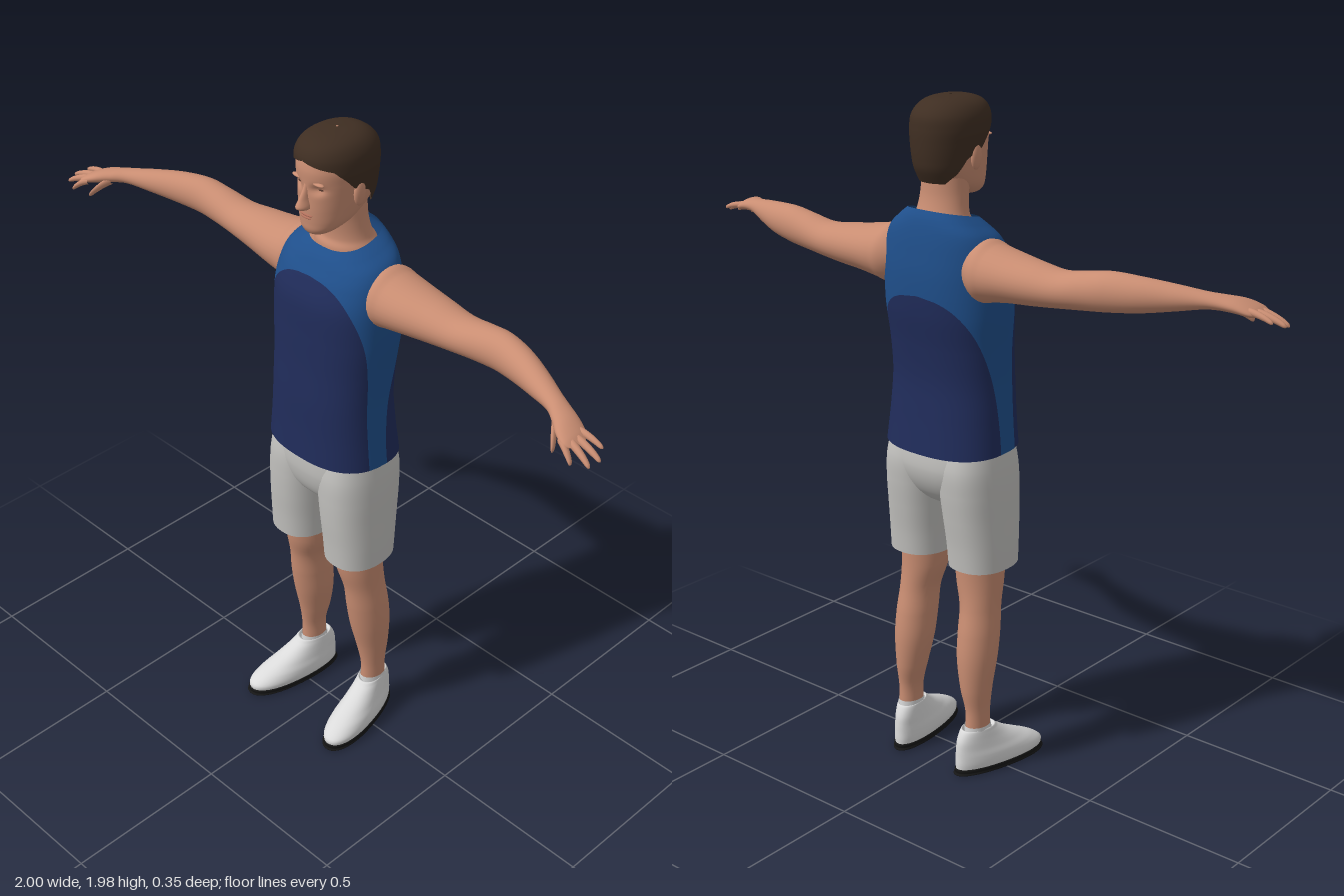
import * as THREE from 'three';

const mat = (name, color, side = THREE.FrontSide) => {
  const m = new THREE.MeshStandardMaterial({ color, side });
  m.name = name;
  return m;
};

// Smooth value of the section table at position v (0..1)
function sample(sections, v) {
  const n = sections.length - 1;
  const s = THREE.MathUtils.clamp(v, 0, 1) * n;
  const i = Math.min(Math.floor(s), n - 1), f = s - i;
  const at = (k) => sections[THREE.MathUtils.clamp(k, 0, n)];
  return sections[0].map((_, c) => {
    const p1 = at(i)[c], p2 = at(i + 1)[c];
    const m1 = (p2 - at(i - 1)[c]) / 2, m2 = (at(i + 2)[c] - p1) / 2;
    return p1 + m1 * f + (3 * (p2 - p1) - 2 * m1 - m2) * f * f + (2 * (p1 - p2) + m1 + m2) * f * f * f;
  });
}

// Loft through superellipse sections.
// axis 'y': [y, cx, cz, rx, rz, tilt], angle 0 faces the front; axis 'x': [x, cy, cz, ry, rz]
function loft(sections, { axis = 'y', power = 2, nu = 40, nv = 40, range, warp } = {}) {
  const pw = (a) => Math.sign(a) * Math.abs(a) ** (2 / power);
  const point = (t, v) => {
    const [a, c1, c2, r1, r2, tilt = 0] = sample(sections, v);
    const s = pw(Math.sin(t)), c = pw(Math.cos(t));
    const p = axis === 'y'
      ? new THREE.Vector3(c1 + r1 * s, a + tilt * r2 * c, c2 + r2 * c)
      : new THREE.Vector3(a, c1 + r1 * c, c2 + r2 * s);
    if (warp) warp(p);
    return p;
  };
  const pos = [], nor = [], idx = [], open = [], e = 0.004;
  for (let j = 0; j <= nv; j++) {
    const v = j / nv;
    const [t0, t1] = range ? range(sample(sections, v)[0]) : [0, Math.PI * 2];
    open.push(t1 - t0 > 1e-5);
    for (let i = 0; i <= nu; i++) {
      const t = t0 + (t1 - t0) * i / nu;
      const du = point(t + 0.03, v).sub(point(t - 0.03, v));
      const dv = point(t, Math.min(1, v + e)).sub(point(t, Math.max(0, v - e)));
      pos.push(...point(t, v).toArray());
      nor.push(...du.cross(dv).normalize().toArray());
    }
  }
  for (let j = 0; j < nv; j++) {
    if (!open[j] && !open[j + 1]) continue;
    for (let i = 0; i < nu; i++) {
      const a = j * (nu + 1) + i, b = a + nu + 1;
      idx.push(a, a + 1, b + 1, a, b + 1, b);
    }
  }
  const g = new THREE.BufferGeometry();
  g.setAttribute('position', new THREE.Float32BufferAttribute(pos, 3));
  g.setAttribute('normal', new THREE.Float32BufferAttribute(nor, 3));
  g.setIndex(idx);
  return g;
}

const ball = (x, y, z, rx, ry, rz) => new THREE.SphereGeometry(1, 20, 14).scale(rx, ry, rz).translate(x, y, z);

function mirrored(geo) {
  const g = geo.clone().scale(-1, 1, 1);
  const a = g.index.array;
  for (let i = 0; i < a.length; i += 3) [a[i], a[i + 1]] = [a[i + 1], a[i]];
  return g;
}

export function createModel() {
  const skin = mat('skin', 0xc98d72);
  const lip = mat('lips', 0xb2705c);
  const dark = mat('eye brown', 0x4a3026);
  const hairMat = mat('hair brown', 0x3f2e22, THREE.DoubleSide);
  const navy = mat('shirt navy', 0x202c5a, THREE.DoubleSide);
  const blue = mat('shirt blue', 0x1f4f8b, THREE.DoubleSide);
  const cloth = mat('shorts grey', 0xc2c1be, THREE.DoubleSide);
  const shoeMat = mat('shoe white', 0xdadada, THREE.DoubleSide);
  const black = mat('sole black', 0x161616);

  const model = new THREE.Group();
  model.name = 'athlete';
  const add = (name, geo, material) => {
    const m = new THREE.Mesh(geo, material);
    m.name = name;
    model.add(m);
  };
  const pair = (name, geo, material) => {
    add('left' + name, geo, material);
    add('right' + name, mirrored(geo), material);
  };

  // Sleeveless shirt, split into arched front and back panels and blue sides
  const shirt = [
    [1.0, 0, -0.022, 0.193, 0.148, 0.05], [1.1, 0, -0.018, 0.185, 0.138, 0], [1.2, 0, -0.016, 0.18, 0.132, 0],
    [1.3, 0, -0.023, 0.182, 0.132, 0], [1.4, 0, -0.032, 0.188, 0.137, 0], [1.5, 0, -0.037, 0.187, 0.137, 0],
    [1.57, 0, -0.045, 0.178, 0.125, -0.05], [1.615, 0, -0.052, 0.16, 0.112, -0.12],
    [1.645, 0, -0.056, 0.125, 0.1, -0.18], [1.667, 0, -0.06, 0.095, 0.085, -0.22],
  ];
  const arch = (y, base, height, width) => width * Math.sqrt(Math.max(0, 1 - (Math.max(0, y - base) / height) ** 2));
  const front = (y) => arch(y, 1.2, 0.385, 1.32);
  const back = (y) => arch(y, 1.0, 0.45, 1.5);
  const panel = (range) => loft(shirt, { power: 2.5, nu: 32, nv: 110, range });
  add('shirtFrontPanel', panel((y) => [-front(y), front(y)]), navy);
  add('shirtBackPanel', panel((y) => [Math.PI - back(y), Math.PI + back(y)]), navy);
  pair('ShirtSide', panel((y) => [front(y), Math.PI - back(y)]), blue);

  // Shorts
  add('shortsSeat', loft([
    [0.815, 0, -0.02, 0.003, 0.003], [0.825, 0, -0.02, 0.07, 0.06], [0.87, 0, -0.022, 0.15, 0.108],
    [0.94, 0, -0.024, 0.185, 0.132], [1.03, 0, -0.02, 0.178, 0.128],
  ], { power: 2.4 }), cloth);
  pair('ShortsLeg', loft([
    [0.648, 0.11, -0.015, 0.089, 0.105], [0.72, 0.108, -0.016, 0.091, 0.111], [0.8, 0.104, -0.018, 0.093, 0.12],
    [0.88, 0.1, -0.021, 0.095, 0.127], [0.95, 0.096, -0.023, 0.094, 0.128], [1.02, 0.09, -0.022, 0.09, 0.115],
  ], { power: 2.3 }), cloth);

  // Legs and socks
  pair('Leg', loft([
    [0.08, 0.13, -0.062, 0.03, 0.041], [0.14, 0.13, -0.062, 0.031, 0.042], [0.2, 0.13, -0.062, 0.032, 0.043],
    [0.27, 0.125, -0.062, 0.043, 0.054], [0.36, 0.121, -0.054, 0.055, 0.066], [0.44, 0.119, -0.044, 0.057, 0.069],
    [0.52, 0.115, -0.033, 0.056, 0.067], [0.6, 0.105, -0.022, 0.067, 0.074], [0.72, 0.1, -0.018, 0.075, 0.082],
  ]), skin);
  pair('Sock', loft([[0.08, 0.13, -0.062, 0.035, 0.047], [0.15, 0.13, -0.062, 0.034, 0.045]], { nv: 4 }), shoeMat);

  // Shoes: narrow heel, broad forefoot, toes turned out
  const footShape = (p) => { p.x *= 0.95 + 0.7 * p.z; };
  const shoe = (sections, nv) => loft(sections, { power: 2.2, nv, warp: footShape })
    .translate(0, 0, 0.06).rotateY(0.19).translate(0.13, 0, -0.06);
  pair('Shoe', shoe([
    [0.015, 0, 0.019, 0.054, 0.157], [0.035, 0, 0.018, 0.058, 0.157], [0.058, 0, 0.002, 0.056, 0.14],
    [0.08, 0, -0.02, 0.05, 0.117], [0.105, 0, -0.044, 0.045, 0.09], [0.128, 0, -0.058, 0.041, 0.067],
    [0.14, 0, -0.061, 0.038, 0.055], [0.132, 0, -0.062, 0.034, 0.046],
  ], 32), shoeMat);
  pair('Sole', shoe([
    [0, 0, 0.019, 0.002, 0.003], [0.0005, 0, 0.019, 0.053, 0.153], [0.01, 0, 0.019, 0.057, 0.16],
    [0.019, 0, 0.019, 0.057, 0.16], [0.021, 0, 0.019, 0.05, 0.15],
  ], 16), black);

  // Arms running into the palms
  const along = { axis: 'x', nu: 32, nv: 70 };
  pair('Arm', loft([
    [0.1, 1.535, -0.063, 0.055, 0.06], [0.16, 1.53, -0.064, 0.086, 0.092], [0.2, 1.528, -0.066, 0.078, 0.092],
    [0.26, 1.527, -0.067, 0.068, 0.085], [0.34, 1.525, -0.07, 0.059, 0.072], [0.42, 1.525, -0.07, 0.051, 0.06],
    [0.5, 1.535, -0.067, 0.053, 0.052], [0.57, 1.543, -0.061, 0.054, 0.048], [0.65, 1.545, -0.042, 0.047, 0.045],
    [0.73, 1.546, -0.012, 0.035, 0.039], [0.8, 1.546, 0.018, 0.023, 0.032], [0.84, 1.543, 0.04, 0.02, 0.036],
    [0.88, 1.536, 0.063, 0.019, 0.044], [0.915, 1.525, 0.078, 0.014, 0.043], [0.935, 1.52, 0.083, 0.003, 0.025],
  ], along), skin);

  // Fingers: root, tip and thickness
  const finger = ([x0, y0, z0], [x1, y1, z1], r) => loft([0, 0.35, 0.7, 0.93, 1].map((f, i) => [
    x0 + (x1 - x0) * f, y0 + (y1 - y0) * f + 0.006 * Math.sin(f * Math.PI), z0 + (z1 - z0) * f,
    r * [1, 1, 0.85, 0.6, 0.1][i], r * [1, 1, 0.85, 0.6, 0.1][i],
  ]), { axis: 'x', nu: 12, nv: 16 });
  pair('Thumb', finger([0.84, 1.535, 0.06], [0.885, 1.488, 0.118], 0.013), skin);
  pair('IndexFinger', finger([0.895, 1.527, 0.106], [0.95, 1.489, 0.128], 0.011), skin);
  pair('MiddleFinger', finger([0.9, 1.526, 0.09], [0.992, 1.493, 0.11], 0.011), skin);
  pair('RingFinger', finger([0.9, 1.526, 0.07], [1.0, 1.5, 0.08], 0.0105), skin);
  pair('LittleFinger', finger([0.89, 1.53, 0.05], [0.98, 1.512, 0.047], 0.0095), skin);

  // Neck and head with hollowed eye sockets
  add('neck', loft([
    [1.58, 0, -0.06, 0.11, 0.07], [1.64, 0, -0.065, 0.091, 0.078, -0.1], [1.67, 0, -0.062, 0.077, 0.066],
    [1.72, 0, -0.054, 0.069, 0.062], [1.79, 0, -0.046, 0.066, 0.068],
  ].map((s) => s.slice(0, 5))), skin);
  add('head', loft([
    [1.703, 0, 0.04, 0.003, 0.003], [1.707, 0, 0.038, 0.028, 0.032], [1.722, 0, 0.025, 0.05, 0.057],
    [1.745, 0, 0, 0.066, 0.085], [1.78, 0, -0.02, 0.076, 0.107], [1.82, 0, -0.028, 0.083, 0.115],
    [1.86, 0, -0.03, 0.088, 0.118], [1.9, 0, -0.03, 0.09, 0.118], [1.94, 0, -0.03, 0.08, 0.105],
    [1.965, 0, -0.033, 0.055, 0.075], [1.973, 0, -0.035, 0.003, 0.003],
  ], {
    power: 2.15, nu: 72, nv: 72,
    warp: (p) => {
      if (p.z > 0) p.z -= 0.011 * Math.exp(-(((Math.abs(p.x) - 0.035) / 0.018) ** 2) - ((p.y - 1.847) / 0.013) ** 2);
    },
  }), skin);
  add('nose', loft([
    [1.787, 0, 0.09, 0.003, 0.003], [1.79, 0, 0.089, 0.015, 0.021], [1.799, 0, 0.09, 0.017, 0.029],
    [1.82, 0, 0.085, 0.011, 0.023], [1.845, 0, 0.079, 0.008, 0.014], [1.865, 0, 0.078, 0.007, 0.008],
  ], { nu: 20, nv: 20 }), skin);
  pair('Ear', ball(0.087, 1.823, -0.025, 0.01, 0.036, 0.02).rotateX(0), skin);
  pair('Brow', ball(0.036, 1.866, 0.076, 0.021, 0.005, 0.009), skin);
  pair('Eye', ball(0.035, 1.847, 0.0655, 0.011, 0.003, 0.005), dark);
  add('upperLip', ball(0, 1.769, 0.084, 0.023, 0.004, 0.006), lip);
  add('lowerLip', ball(0, 1.761, 0.083, 0.019, 0.004, 0.007), lip);

  // Short hair, trimmed along a hairline of [height, angle from the front]
  const hairline = [[1.755, 2.4], [1.78, 2.05], [1.82, 1.8], [1.845, 1.38], [1.875, 1.15], [1.905, 0.85], [1.925, 0]];
  const trim = (y) => {
    const i = hairline.findIndex((h) => h[0] >= y);
    if (i < 0) return 0;
    if (i === 0) return hairline[0][1];
    const [a, b] = [hairline[i - 1], hairline[i]];
    return THREE.MathUtils.mapLinear(y, a[0], b[0], a[1], b[1]);
  };
  add('hair', loft([
    [1.755, 0, -0.046, 0.068, 0.079], [1.79, 0, -0.031, 0.082, 0.112], [1.82, 0, -0.03, 0.088, 0.119],
    [1.86, 0, -0.03, 0.093, 0.122], [1.9, 0, -0.029, 0.096, 0.123], [1.935, 0, -0.027, 0.091, 0.119],
    [1.962, 0, -0.024, 0.074, 0.097], [1.977, 0, -0.027, 0.045, 0.06], [1.982, 0, -0.028, 0.003, 0.003],
  ], { power: 2.15, nu: 60, nv: 70, range: (y) => [trim(y), Math.PI * 2 - trim(y)] }), hairMat);

  return model;
}
